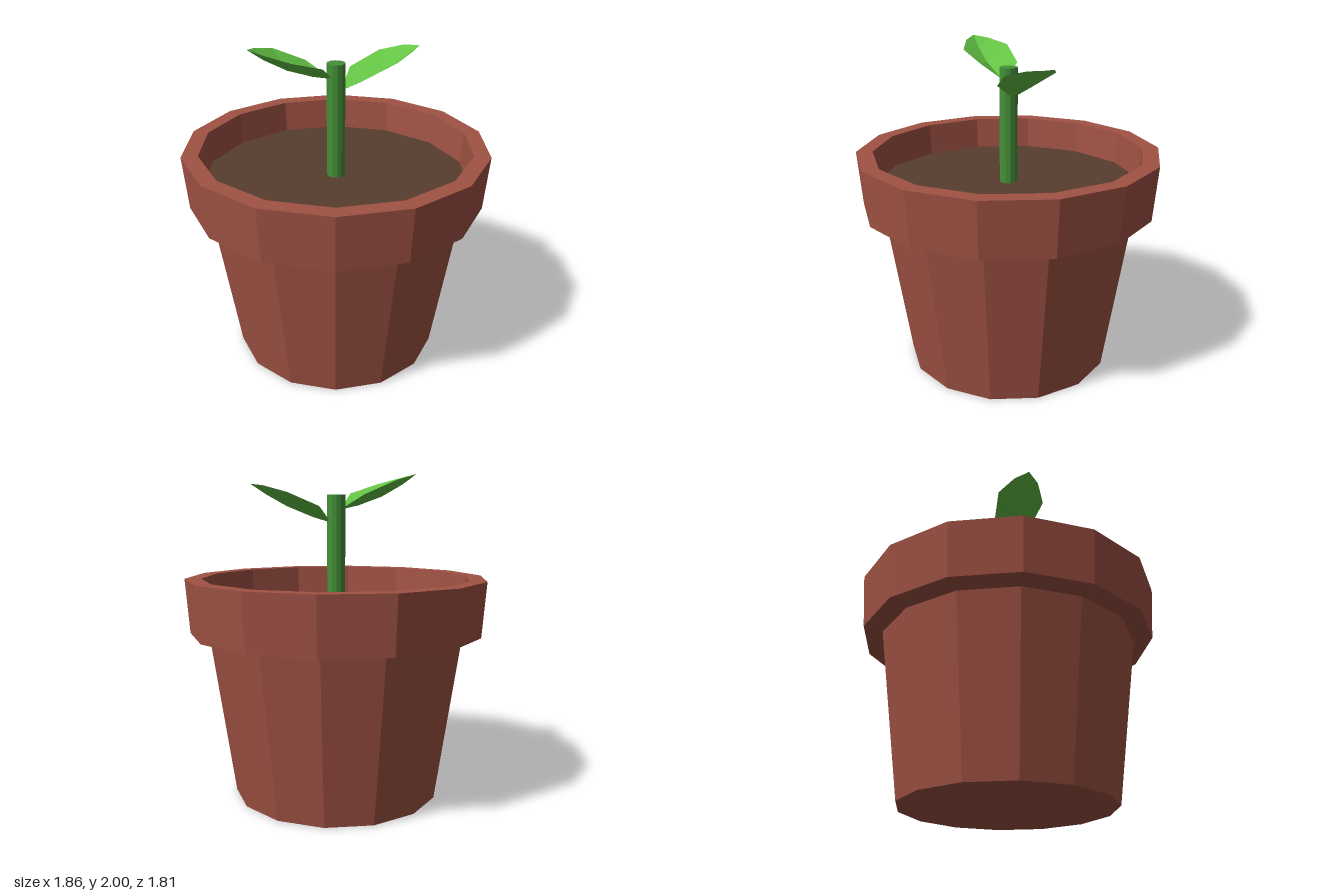
import * as THREE from 'three';

const SIDES = 14;
const material = (name, color, side = THREE.FrontSide) =>
  Object.assign(new THREE.MeshStandardMaterial({ color, side, flatShading: true }), { name });

// Un-share the corners so every facet is flat
function facetedMesh(name, geometry, mat) {
  const flat = geometry.index ? geometry.toNonIndexed() : geometry;
  flat.computeVertexNormals();
  const mesh = new THREE.Mesh(flat, mat);
  mesh.name = name;
  return mesh;
}

// Folded leaf: base and tip points joined by rows of [edge, midrib, edge]
function leafGeometry(base, rows, tip) {
  const positions = [];
  const tri = (...corners) => corners.forEach((p) => positions.push(...p));
  const all = [[base, base, base], ...rows, [tip, tip, tip]];
  for (let i = 0; i < all.length - 1; i++) {
    for (let j = 0; j < 2; j++) {
      const [a, b] = [all[i][j], all[i][j + 1]];
      const [c, d] = [all[i + 1][j], all[i + 1][j + 1]];
      if (a !== b) tri(a, c, b);
      if (c !== d) tri(b, c, d);
    }
  }
  const geometry = new THREE.BufferGeometry();
  geometry.setAttribute('position', new THREE.Float32BufferAttribute(positions, 3));
  return geometry;
}

export function createModel() {
  const group = new THREE.Group();
  group.name = 'pottedSprout';
  const clay = material('clay', 0xa05244);
  const earth = material('earth', 0x573e2f);
  const stemGreen = material('stemGreen', 0x459038);
  const leafGreen = material('leafGreen', 0x64c445, THREE.DoubleSide);

  // Pot: base, tapered wall, overhanging collar and inner wall
  const profile = [
    [0, 0], [0.645, 0], [0.79, 1.01], [0.905, 1.03],
    [0.93, 1.365], [0.83, 1.365], [0.814, 1.15],
  ].map(([r, y]) => new THREE.Vector2(r, y));
  group.add(facetedMesh('pot', new THREE.LatheGeometry(profile, SIDES, Math.PI / 2), clay));

  // Soil surface
  const soil = new THREE.CircleGeometry(0.816, SIDES).rotateX(-Math.PI / 2);
  soil.translate(0, 1.165, 0);
  group.add(facetedMesh('soil', soil, earth));

  // Stem
  const stem = new THREE.CylinderGeometry(0.056, 0.056, 0.72, 12);
  stem.translate(0, 1.51, 0);
  group.add(facetedMesh('stem', stem, stemGreen));

  // Lower leaf on the left, higher leaf on the right
  group.add(facetedMesh('leftLeaf', leafGeometry([0.03, 1.70, 0.01], [
    [[0.08, 1.79, 0.16], [0.14, 1.735, 0.045], [0.17, 1.80, -0.08]],
    [[0.25, 1.88, 0.25], [0.29, 1.80, 0.10], [0.36, 1.88, -0.035]],
    [[0.40, 1.92, 0.225], [0.41, 1.87, 0.14], [0.46, 1.92, 0.08]],
  ], [0.49, 1.93, 0.18]), leafGreen));
  group.add(facetedMesh('rightLeaf', leafGeometry([-0.03, 1.78, 0], [
    [[-0.10, 1.87, -0.16], [-0.14, 1.805, -0.035], [-0.16, 1.88, 0.085]],
    [[-0.28, 1.955, -0.235], [-0.29, 1.86, -0.075], [-0.35, 1.94, 0.06]],
    [[-0.42, 1.985, -0.20], [-0.42, 1.935, -0.115], [-0.46, 1.98, -0.05]],
  ], [-0.505, 2.0, -0.145]), leafGreen));

  return group;
}
